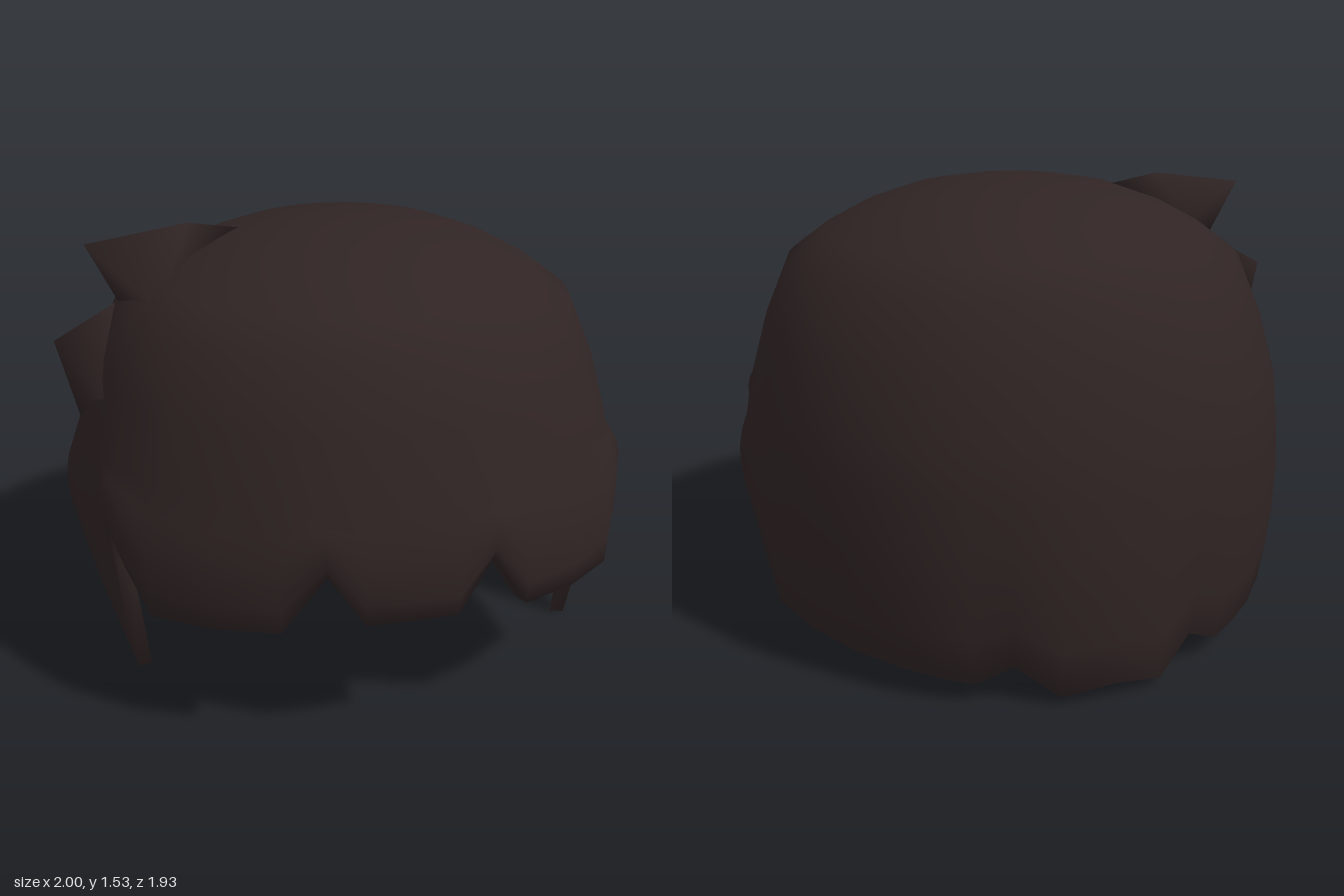
import * as THREE from 'three';
import { mergeVertices } from 'three/addons/utils/BufferGeometryUtils.js';
import { ConvexGeometry } from 'three/addons/geometries/ConvexGeometry.js';

// crown profile: [radius, height]
const CROWN = [[0, 1.535], [0.2, 1.52], [0.37, 1.49], [0.525, 1.435], [0.665, 1.36],
  [0.785, 1.27], [0.875, 1.06], [0.935, 0.85]];

// jagged hem for one half, front to back: [angle from the front, height, radius]
const HEM = [[0, 0.48, 0.94], [9, 0.48, 0.945], [16, 0.65, 0.95], [24.5, 0.45, 0.957],
  [37, 0.44, 0.98], [50.6, 0.425, 1.0], [58, 0.55, 0.99], [65, 0.66, 0.98],
  [70.3, 0.45, 0.91], [72, 0, 0.85], [82, 0.285, 0.92], [91, 0.54, 0.99],
  [102, 0.155, 0.94], [114, 0.135, 0.93], [126, 0.115, 0.92], [137, 0.1, 0.915],
  [145, 0.085, 0.91], [152, 0.07, 0.905], [160, 0.13, 0.895], [169.3, 0.03, 0.92], [180, 0.06, 0.93]];

const THICKNESS = 0.05;
const LOWER_ROWS = 5;

// outline of one column: down the outside to the hem, then up the inside
function columnProfile(hemY, hemR) {
  const [r0, y0] = CROWN[CROWN.length - 1];
  const outer = CROWN.map((p) => [...p]);
  for (let i = 1; i <= LOWER_ROWS; i++) {
    const t = i / LOWER_ROWS;
    outer.push([r0 + (hemR - r0) * t + 0.03 * Math.sin(Math.PI * t), y0 + (hemY - y0) * t]);
  }
  const inner = outer.map(([r, y], i) => [
    Math.max(0, r - THICKNESS),
    y - THICKNESS * Math.max(0, 1 - i / (CROWN.length - 1)),
  ]).reverse();
  return outer.concat(inner);
}

function hairShell() {
  const mirrored = HEM.slice(1, -1).reverse().map(([a, y, r]) => [360 - a, y, r]);
  const columns = HEM.concat(mirrored);
  const positions = [], index = [];
  const rows = 2 * (CROWN.length + LOWER_ROWS);
  for (const [angle, y, r] of columns) {
    const a = THREE.MathUtils.degToRad(angle);
    for (const [pr, py] of columnProfile(y, r)) {
      positions.push(pr * Math.sin(a), py, pr * Math.cos(a));
    }
  }
  for (let j = 0; j < columns.length; j++) {
    const next = (j + 1) % columns.length;
    for (let i = 0; i < rows - 1; i++) {
      const a = j * rows + i, b = next * rows + i;
      if (i < rows - 2) index.push(a, a + 1, b + 1);
      if (i > 0) index.push(a, b + 1, b);
    }
  }
  const geometry = new THREE.BufferGeometry();
  geometry.setAttribute('position', new THREE.Float32BufferAttribute(positions, 3));
  geometry.setIndex(index);
  // weld the poles so the crown shades smoothly
  const welded = mergeVertices(geometry, 1e-4);
  welded.computeVertexNormals();
  return welded;
}

// loose pointed tuft spanning a few corner points
function tuft(points) {
  const hull = new ConvexGeometry(points.map((p) => new THREE.Vector3(...p)));
  hull.deleteAttribute('normal');
  const geometry = mergeVertices(hull, 1e-4);
  geometry.computeVertexNormals();
  return geometry;
}

export function createModel() {
  const group = new THREE.Group();
  group.name = 'hair';
  const darkBrown = new THREE.MeshStandardMaterial({ color: 0x302424, side: THREE.DoubleSide });
  darkBrown.name = 'dark brown';

  const add = (name, geometry) => {
    const mesh = new THREE.Mesh(geometry, darkBrown);
    mesh.name = name;
    group.add(mesh);
  };

  add('hairShell', hairShell());

  // two flicks sticking out on the model's right side
  add('upperFlick', tuft([[-0.34, 1.49, -0.05], [-0.53, 1.52, -0.04], [-0.875, 1.47, -0.02],
    [-0.77, 1.26, 0], [-0.62, 1.36, -0.14], [-0.66, 1.3, 0.22]]));
  add('lowerFlick', tuft([[-0.76, 1.28, -0.02], [-1, 1.15, 0], [-0.93, 0.85, -0.02],
    [-0.86, 1.04, -0.17], [-0.84, 1.0, 0.25]]));
  return group;
}
